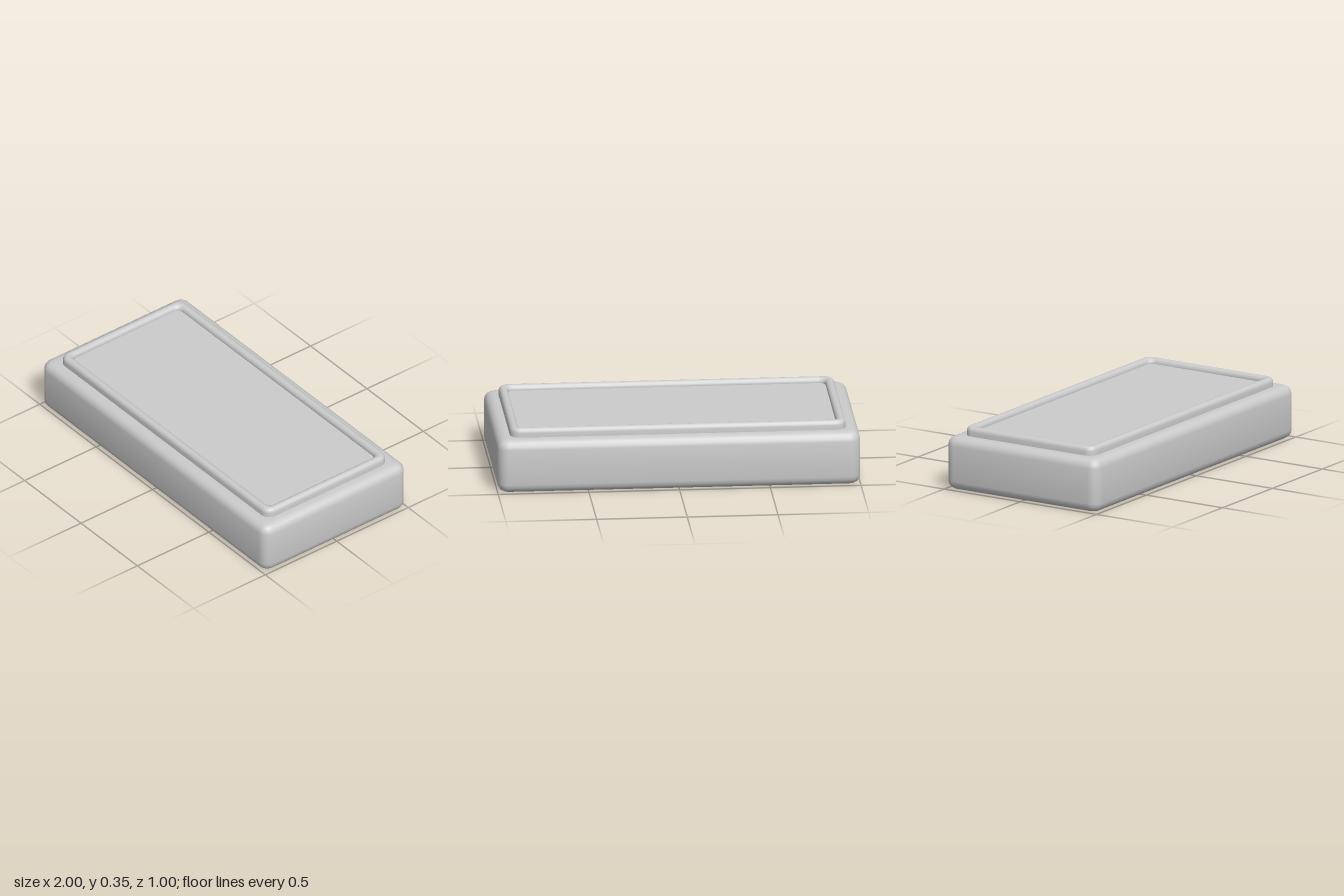
import * as THREE from 'three';
import { toCreasedNormals } from 'three/addons/utils/BufferGeometryUtils.js';

const material = new THREE.MeshStandardMaterial({ color: 0xcccccc });
const CORNER_STEPS = 6;

// Rounded rectangle as [x, z] points, running from +x towards +z
function roundedLoop(hx, hz, r) {
  const points = [];
  [[1, 1], [-1, 1], [-1, -1], [1, -1]].forEach(([sx, sz], q) => {
    for (let i = 0; i <= CORNER_STEPS; i++) {
      const a = (q + i / CORNER_STEPS) * Math.PI / 2;
      points.push([sx * (hx - r) + r * Math.cos(a), sz * (hz - r) + r * Math.sin(a)]);
    }
  });
  return points;
}

// Quarter round in [inset, y] between two angles
function arc(cx, cy, r, from, to, steps = 4) {
  return Array.from({ length: steps + 1 }, (_, i) => {
    const a = from + (to - from) * i / steps;
    return [cx - r * Math.cos(a), cy + r * Math.sin(a)];
  });
}

// Sweep an [inset, y] profile around a rounded rectangle
function sweep(name, hx, hz, r, profile) {
  const positions = [], index = [];
  const n = 4 * (CORNER_STEPS + 1);
  profile.forEach(([inset, y], k) => {
    const loop = roundedLoop(hx - inset, hz - inset, Math.max(r - inset, 0.035));
    loop.forEach(([x, z], i) => {
      positions.push(x, y, z);
      if (k === profile.length - 1) return;
      const a = k * n + i, b = k * n + (i + 1) % n;
      index.push(a, a + n, b, b, a + n, b + n);
    });
  });
  const geometry = new THREE.BufferGeometry();
  geometry.setAttribute('position', new THREE.Float32BufferAttribute(positions, 3));
  geometry.setIndex(index);
  const mesh = new THREE.Mesh(toCreasedNormals(geometry, 0.7), material);
  mesh.name = name;
  return mesh;
}

// Flat rounded panel facing up or down
function panel(name, hx, hz, r, y, up) {
  const shape = new THREE.Shape(roundedLoop(hx, hz, r).map(([x, z]) => new THREE.Vector2(x, z)));
  const geometry = new THREE.ShapeGeometry(shape);
  geometry.rotateX(up ? -Math.PI / 2 : Math.PI / 2);
  const mesh = new THREE.Mesh(geometry, material);
  mesh.name = name;
  mesh.position.y = y;
  return mesh;
}

export function createModel() {
  const group = new THREE.Group();
  const h = Math.PI / 2;

  // Rounded body with a shallow recess in its underside
  group.add(sweep('body', 1, 0.5, 0.06, [
    [0.08, 0.045], [0.08, 0],
    ...arc(0.05, 0.05, 0.05, -h, 0),
    ...arc(0.05, 0.25, 0.05, 0, h),
    [0.09, 0.3],
  ]));
  group.add(panel('undersidePanel', 0.92, 0.42, 0.035, 0.045, false));

  // Raised rounded lip around the sunken top panel
  group.add(sweep('topLip', 0.925, 0.425, 0.055, [
    [0, 0.295],
    ...arc(0.025, 0.325, 0.025, 0, Math.PI, 8),
    [0.05, 0.32],
  ]));
  group.add(panel('topPanel', 0.875, 0.375, 0.035, 0.32, true));

  return group;
}
